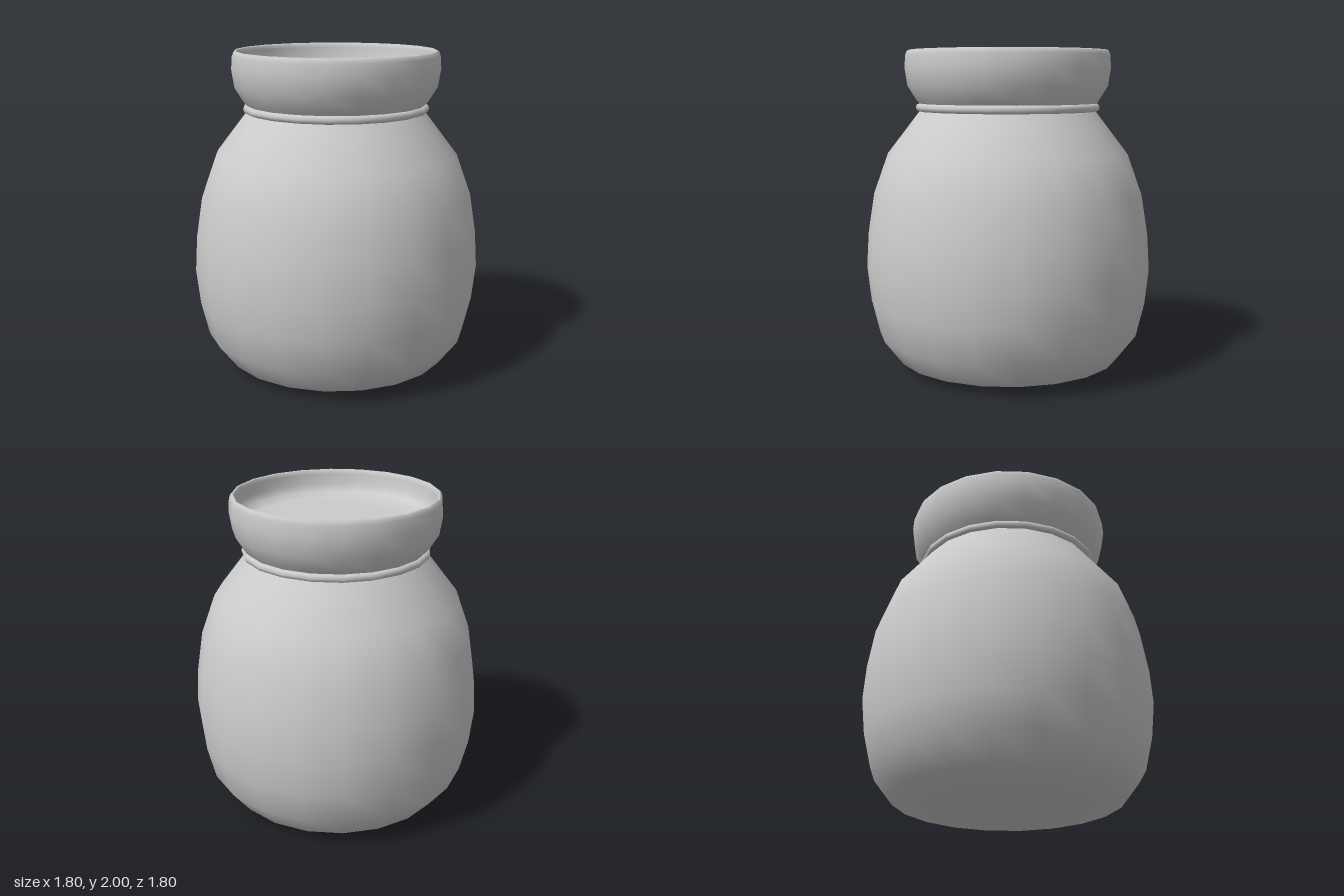
import * as THREE from 'three';

const SIDES = 20;

export function createModel() {
  const jar = new THREE.Group();
  jar.name = 'jar';
  const material = new THREE.MeshStandardMaterial({ color: 0xcccccc });

  const add = (name, geometry) => {
    const mesh = new THREE.Mesh(geometry, material);
    mesh.name = name;
    jar.add(mesh);
    return mesh;
  };
  const lathe = (profile) =>
    new THREE.LatheGeometry(profile.map(([r, y]) => new THREE.Vector2(r, y)), SIDES);

  // Rounded belly, from the centre of the base up to the neck
  add('body', lathe([
    [0, 0], [0.48, 0.002], [0.708, 0.053], [0.828, 0.21], [0.878, 0.42], [0.902, 0.64],
    [0.888, 0.86], [0.848, 1.11], [0.758, 1.36], [0.558, 1.62], [0.54, 1.65],
  ]));

  // Flared collar with a rolled lip and a shallow recess closed by a floor
  add('collar', lathe([
    [0.54, 1.65], [0.575, 1.69], [0.63, 1.78], [0.647, 1.89], [0.641, 1.97], [0.632, 1.993],
    [0.622, 2], [0.612, 1.993], [0.606, 1.97], [0.602, 1.91], [0.58, 1.86], [0.52, 1.835],
    [0.4, 1.83], [0, 1.83],
  ]));

  // Thin bead around the neck
  const bead = add('neckRing', new THREE.TorusGeometry(0.554, 0.026, 8, SIDES));
  bead.rotation.x = Math.PI / 2;
  bead.position.y = 1.646;

  return jar;
}
